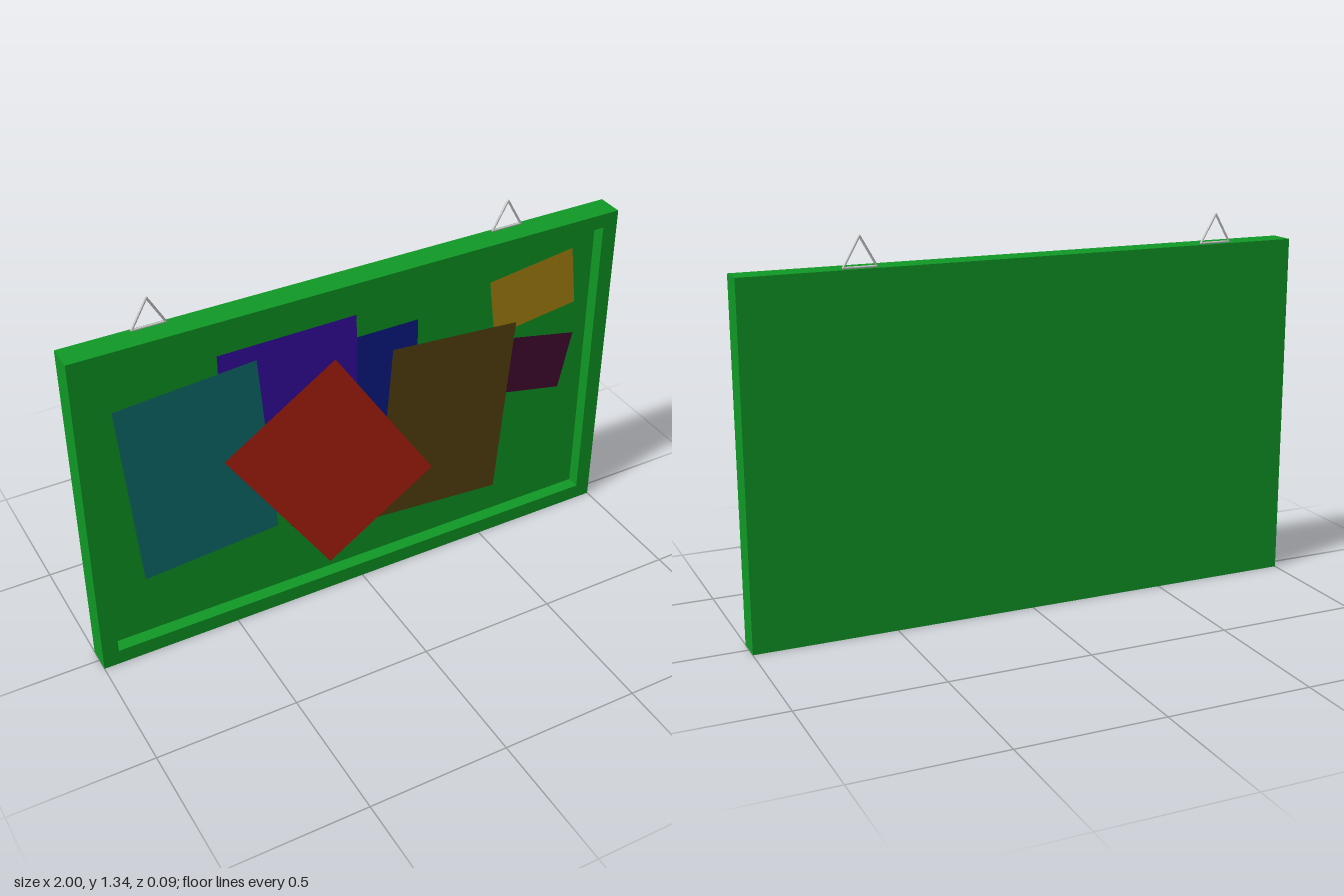
import * as THREE from 'three';

const W = 2, H = 1.235, D = 0.094;

function rect(path, x0, y0, x1, y1) {
  path.moveTo(x0, y0);
  path.lineTo(x1, y0);
  path.lineTo(x1, y1);
  path.lineTo(x0, y1);
  path.closePath();
  return path;
}

export function createModel() {
  const group = new THREE.Group();
  const add = (name, geometry, material, parent = group) => {
    const mesh = new THREE.Mesh(geometry, material);
    mesh.name = name;
    parent.add(mesh);
    return mesh;
  };

  // Raised rim around the front half, solid backing behind it
  const green = new THREE.MeshStandardMaterial({ color: 0x109a26 });
  const rim = rect(new THREE.Shape(), -W / 2, 0, W / 2, H);
  rim.holes.push(rect(new THREE.Path(), -0.943, 0.057, 0.943, 1.183));
  add('frameRim', new THREE.ExtrudeGeometry(rim, { depth: D / 2, bevelEnabled: false }), green);
  add('backBoard', new THREE.BoxGeometry(W, H, D / 2), green).position.set(0, H / 2, -D / 4);

  // Pinned sheets, overlapping in layers: centre x, y, z, width, height, turn in degrees, colour
  const sheets = [
    ['navySheet', -0.012, 0.65, 0.002, 0.495, 0.7, 0, 0x0d1c8c],
    ['purpleSheet', -0.248, 0.737, 0.004, 0.5, 0.7, 0.5, 0x380ca8],
    ['maroonNote', 0.698, 0.675, 0.003, 0.34, 0.226, -12, 0x480c34],
    ['yellowNote', 0.7, 0.972, 0.003, 0.338, 0.226, 7.6, 0xb08a10],
    ['tealSheet', -0.59, 0.666, 0.014, 0.497, 0.702, 4.4, 0x107070],
    ['brownSheet', 0.355, 0.545, 0.012, 0.497, 0.702, -4.5, 0x584410],
    ['redSheet', -0.104, 0.525, 0.022, 0.497, 0.7, 33.5, 0xb82010],
  ];
  for (const [name, x, y, z, w, h, turn, color] of sheets) {
    const material = new THREE.MeshStandardMaterial({ color, side: THREE.DoubleSide });
    const sheet = add(name, new THREE.PlaneGeometry(w, h), material);
    sheet.position.set(x, y, z);
    sheet.rotation.z = THREE.MathUtils.degToRad(turn);
  }

  // Triangular wire hangers along the top
  const wire = new THREE.MeshStandardMaterial({ color: 0xcccccc });
  const r = 0.004;
  const corners = [[-0.056, 0.004], [0.056, 0.004], [0, 0.103]].map(([x, y]) => new THREE.Vector3(x, y, 0));
  for (const [name, x] of [['rightHanger', -0.702], ['leftHanger', 0.595]]) {
    const hanger = new THREE.Group();
    hanger.name = name;
    hanger.position.set(x, H, -0.033);
    corners.forEach((a, i) => {
      const b = corners[(i + 1) % 3];
      add('hangerWire', new THREE.TubeGeometry(new THREE.LineCurve3(a, b), 1, r, 8), wire, hanger);
      add('hangerCorner', new THREE.SphereGeometry(r, 8, 6), wire, hanger).position.copy(a);
    });
    group.add(hanger);
  }
  return group;
}
